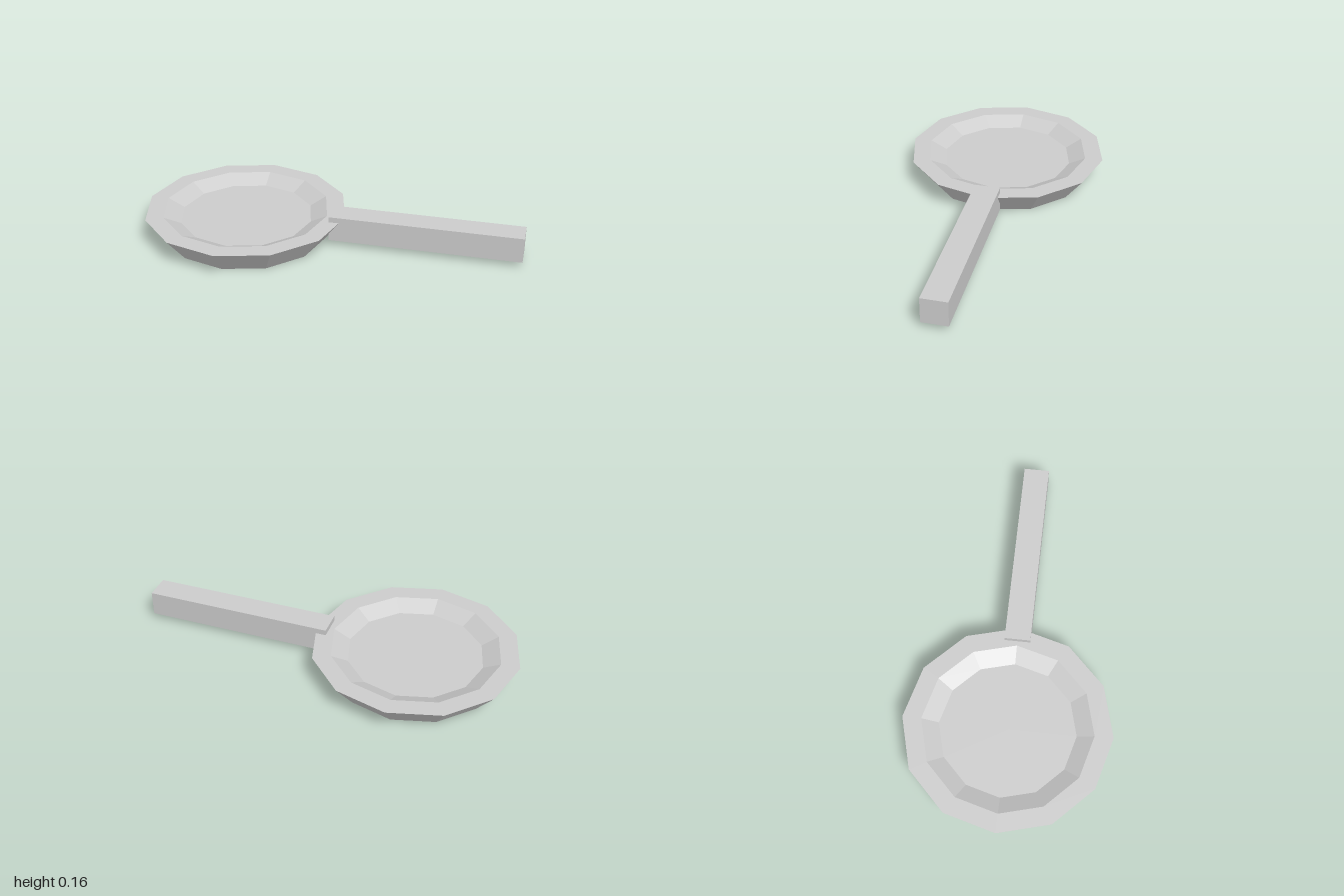
import * as THREE from 'three';

export function createModel() {
  const model = new THREE.Group();
  model.name = 'fryingPan';

  const metal = new THREE.MeshStandardMaterial({ color: 0xcccccc, flatShading: true });
  metal.name = 'light grey metal';

  // Twelve-sided dish: base, sloped outside, flat rim, sloped inside, cooking floor
  const profile = [
    [0, 0], [0.43, 0], [0.536, 0.134], [0.44, 0.134], [0.352, 0.09], [0, 0.09],
  ].map(([r, y]) => new THREE.Vector2(r, y));
  const dish = new THREE.Mesh(new THREE.LatheGeometry(profile, 12), metal);
  dish.name = 'dish';
  dish.position.x = -0.464;
  model.add(dish);

  // Square bar handle, overlapping the rim
  const handle = new THREE.Mesh(new THREE.BoxGeometry(1, 0.134, 0.134), metal);
  handle.name = 'handle';
  handle.position.set(0.5, 0.096, 0);
  model.add(handle);

  return model;
}
